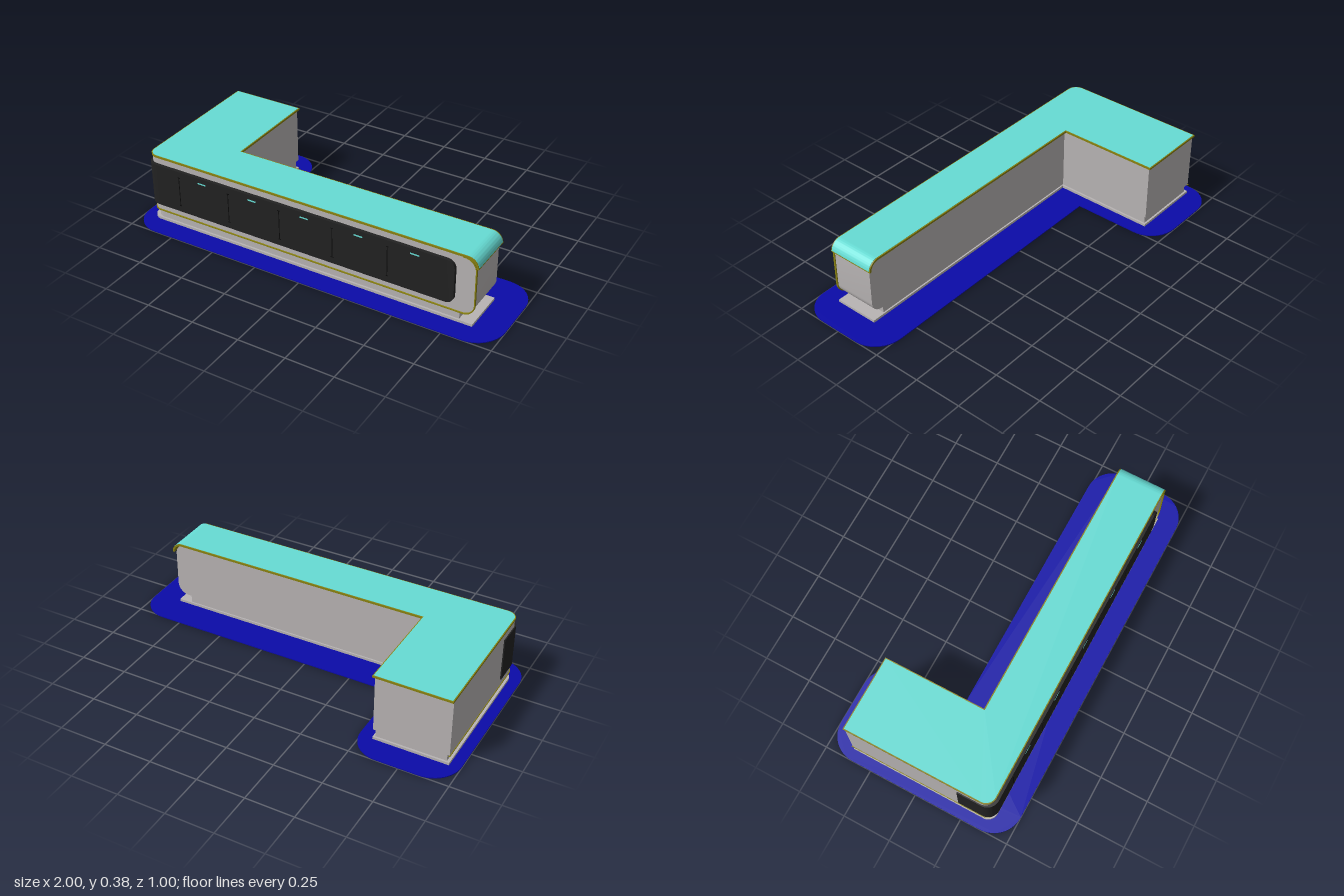
import * as THREE from 'three';
import { toCreasedNormals } from 'three/addons/utils/BufferGeometryUtils.js';

const material = (color) => new THREE.MeshStandardMaterial({ color });

// Closed outline from [x, y, radius] corners, right angles rounded by radius
function outline(corners) {
  const shape = new THREE.Shape();
  const n = corners.length;
  const k = 0.5523;
  corners.forEach(([x, y, r = 0], i) => {
    const c = new THREE.Vector2(x, y);
    const prev = new THREE.Vector2(...corners[(i + n - 1) % n]).sub(c).normalize();
    const next = new THREE.Vector2(...corners[(i + 1) % n]).sub(c).normalize();
    const a = c.clone().addScaledVector(prev, r);
    const b = c.clone().addScaledVector(next, r);
    if (i === 0) shape.moveTo(a.x, a.y);
    else shape.lineTo(a.x, a.y);
    if (r > 0) {
      const h1 = a.clone().addScaledVector(prev, -r * k);
      const h2 = b.clone().addScaledVector(next, -r * k);
      shape.bezierCurveTo(h1.x, h1.y, h2.x, h2.y, b.x, b.y);
    }
  });
  shape.closePath();
  return shape;
}

function extrude(shape, depth) {
  return new THREE.ExtrudeGeometry(shape, { depth, bevelEnabled: false, curveSegments: 12 });
}

// Floor-plan outline in (x, z), raised from y0 to y1
function plan(corners, y0, y1) {
  const g = extrude(outline(corners.map(([x, z, r]) => [x, -z, r])), y1 - y0);
  return g.rotateX(-Math.PI / 2).translate(0, y0, 0);
}

// Front outline in (x, y), running from z0 to z1
function elevation(corners, z0, z1) {
  return extrude(outline(corners), z1 - z0).translate(0, 0, z0);
}

// L-shaped plan: long arm at the front, short leg going back on the -x side
function ell(x0, x1, xi, zBack, zIn, zFront, r = {}) {
  return [
    [x0, zFront, r.frontLeft], [x1, zFront, r.frontRight], [x1, zIn, r.armBack],
    [xi, zIn], [xi, zBack, r.legIn], [x0, zBack, r.legOut],
  ];
}

export function createModel() {
  const group = new THREE.Group();
  const grey = material(0xb8b4b4);
  const gold = material(0x8a8210);
  const teal = material(0x66dcd4);
  const black = material(0x222222);
  const seamBlack = material(0x0a0a0a);
  const blue = material(0x0a0aa8);

  const add = (name, geometry, mat) => {
    const mesh = new THREE.Mesh(toCreasedNormals(geometry, 0.5), mat);
    mesh.name = name;
    group.add(mesh);
  };
  const box = (name, w, h, d, x, y, z, mat) =>
    add(name, new THREE.BoxGeometry(w, h, d).translate(x, y, z), mat);

  // Floor mat
  const m = 0.145;
  add('floorMat', plan(ell(-1, 1, -0.49, -0.5, -0.01, 0.5,
    { frontLeft: m, frontRight: m, armBack: m, legIn: m, legOut: m }), 0, 0.005), blue);

  // Base plate and recessed plinth
  add('basePlate', plan(ell(-0.945, 0.855, -0.56, -0.375, 0.16, 0.395, { frontLeft: 0.05 }), 0.004, 0.018), grey);
  add('plinth', plan(ell(-0.93, 0.785, -0.57, -0.365, 0.168, 0.385, { frontLeft: 0.05 }), 0.018, 0.065), grey);

  // Cabinet: arm with a rounded end, and the leg
  add('armBody', elevation([
    [-0.8, 0.062], [0.858, 0.062, 0.06], [0.858, 0.365, 0.06], [-0.8, 0.365],
  ], 0.16, 0.387), grey);
  add('legBody', plan([
    [-0.945, 0.387, 0.05], [-0.562, 0.387], [-0.562, -0.375], [-0.945, -0.375],
  ], 0.062, 0.365), grey);

  // Gold edging along the front outline and round the left side
  add('frontTrim', elevation([
    [-0.895, 0.057], [0.862, 0.057, 0.062], [0.862, 0.366, 0.062], [0.79, 0.366],
    [0.79, 0.361], [0.857, 0.361, 0.057], [0.857, 0.062, 0.057], [-0.895, 0.062],
  ], 0.383, 0.394), gold);
  add('sideTrim', plan([
    [-0.89, 0.394], [-0.948, 0.394, 0.055], [-0.948, -0.379],
    [-0.942, -0.379], [-0.942, 0.384, 0.05], [-0.89, 0.384],
  ], 0.057, 0.062), gold);

  // Countertop: gold slab with a teal surface set into its edge
  add('counterSlab', plan(ell(-0.947, 0.815, -0.553, -0.386, 0.143, 0.394, { frontLeft: 0.055 }), 0.364, 0.374), gold);
  add('counterSurface', plan(ell(-0.942, 0.815, -0.558, -0.381, 0.149, 0.389, { frontLeft: 0.05 }), 0.372, 0.3755), teal);

  // Curled-down counter end, a quarter ring about (0.815, 0.32)
  const curl = (rIn, rOut, start, z0, z1) => {
    const s = new THREE.Shape();
    s.absarc(0.815, 0.319, rOut, start, Math.PI / 2, false);
    s.absarc(0.815, 0.319, rIn, Math.PI / 2, start, true);
    s.closePath();
    return extrude(s, z1 - z0).translate(0, 0, z0);
  };
  add('counterCurl', curl(0.045, 0.055, 0, 0.143, 0.394), gold);
  add('counterCurlSurface', curl(0.053, 0.0565, 0.12, 0.149, 0.389), teal);

  // Dark front panel, wrapping round the left corner
  add('frontPanel', elevation([
    [-0.89, 0.1], [0.76, 0.1, 0.042], [0.76, 0.329, 0.042], [-0.89, 0.329],
  ], 0.38, 0.404), black);
  add('cornerPanel', plan([
    [-0.89, 0.404], [-0.951, 0.404, 0.06], [-0.951, 0.215],
    [-0.935, 0.215], [-0.935, 0.38, 0.045], [-0.89, 0.38],
  ], 0.1, 0.329), black);

  // Panel seams with end ticks, and a teal handle for each bay
  for (let i = 0; i < 5; i++) {
    const x = -0.752 + i * 0.293;
    box('panelSeam', 0.004, 0.16, 0.002, x, 0.215, 0.404, seamBlack);
    for (const y of [0.135, 0.295]) box('seamTick', 0.014, 0.004, 0.002, x, y, 0.404, seamBlack);
    box('handle', 0.046, 0.007, 0.003, x + 0.14, 0.3, 0.404, teal);
  }
  return group;
}
